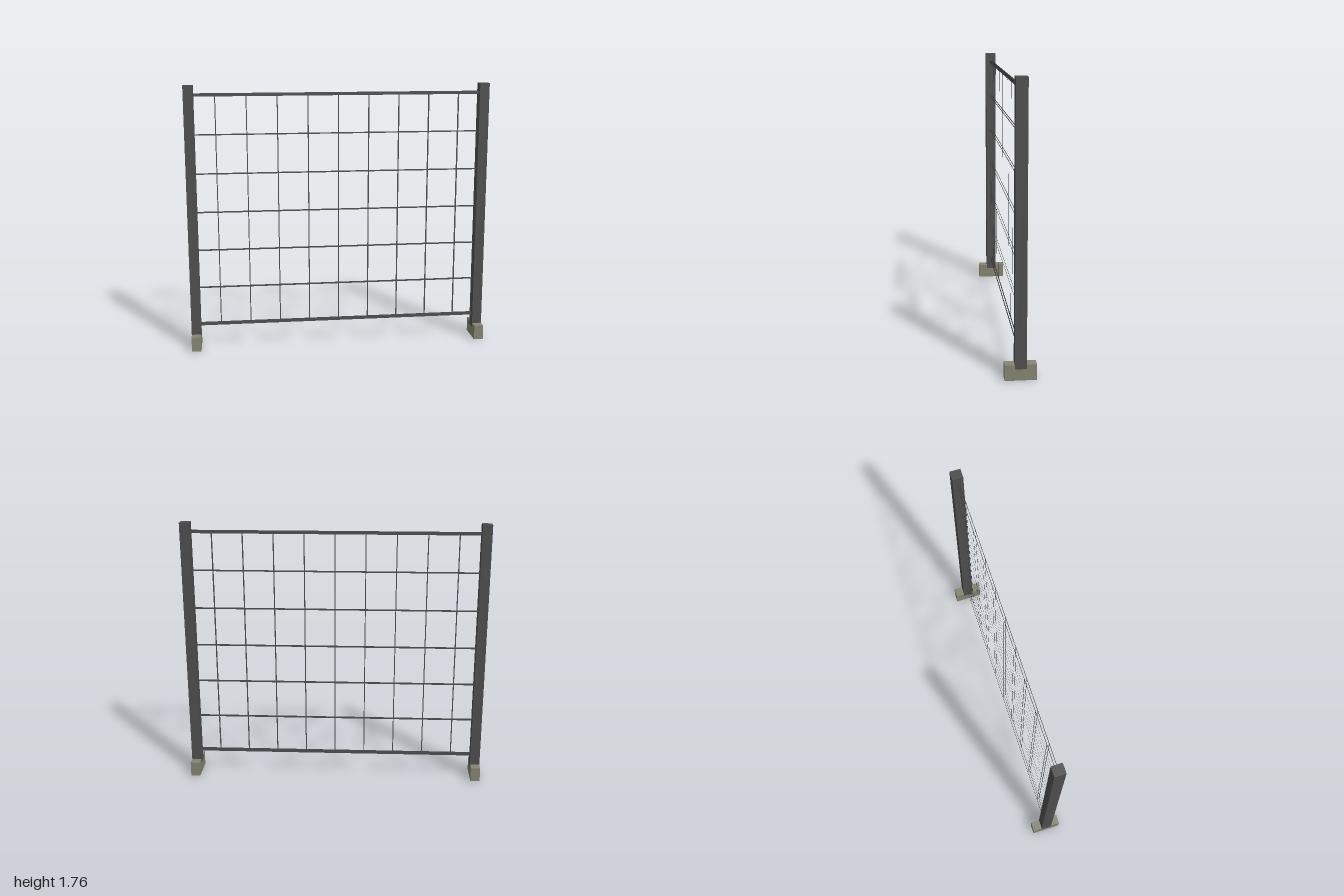
import * as THREE from 'three';

export function createModel() {
  const model = new THREE.Group();
  const steel = new THREE.MeshStandardMaterial({ color: 0x4e4e4e });
  steel.name = 'dark steel';
  const wire = new THREE.MeshStandardMaterial({ color: 0x4e4e4e, side: THREE.DoubleSide });
  wire.name = 'dark wire';
  const concrete = new THREE.MeshStandardMaterial({ color: 0x84846f });
  concrete.name = 'concrete';

  const add = (name, geometry, material, x, y, z = 0) => {
    const mesh = new THREE.Mesh(geometry, material);
    mesh.name = name;
    mesh.position.set(x, y, z);
    model.add(mesh);
  };

  // Posts sunk slightly into their concrete feet
  const postBottom = 0.07, postTop = 1.76;
  for (const side of [-1, 1]) {
    const label = side > 0 ? 'left' : 'right';
    add(label + 'Post', new THREE.BoxGeometry(0.064, postTop - postBottom, 0.07),
      steel, side * 0.968, (postTop + postBottom) / 2);
    add(label + 'Foot', new THREE.BoxGeometry(0.063, 0.097, 0.19), concrete, side * 0.968, 0.0485);
  }

  // A bar is a pair of flat strips, one at the front and one at the back
  const addBar = (name, width, height, x, y) => {
    for (const z of [0.007, -0.007]) {
      const strip = new THREE.PlaneGeometry(width, height);
      if (z < 0) strip.rotateY(Math.PI);
      add(name, strip, wire, x, y, z);
    }
  };

  // Horizontal bars: wide rails at top and bottom, thin wires between
  const low = 0.161, high = 1.698, rows = 6, span = 1.88;
  for (let i = 0; i <= rows; i++) {
    const isRail = i === 0 || i === rows;
    addBar(isRail ? 'rail' : 'horizontalWire', span, isRail ? 0.02 : 0.007,
      0, low + (high - low) * i / rows);
  }

  // Vertical wires between the rails
  for (let i = -4; i <= 4; i++) {
    addBar('verticalWire', 0.006, high - low, i * 0.2, (low + high) / 2);
  }
  return model;
}
